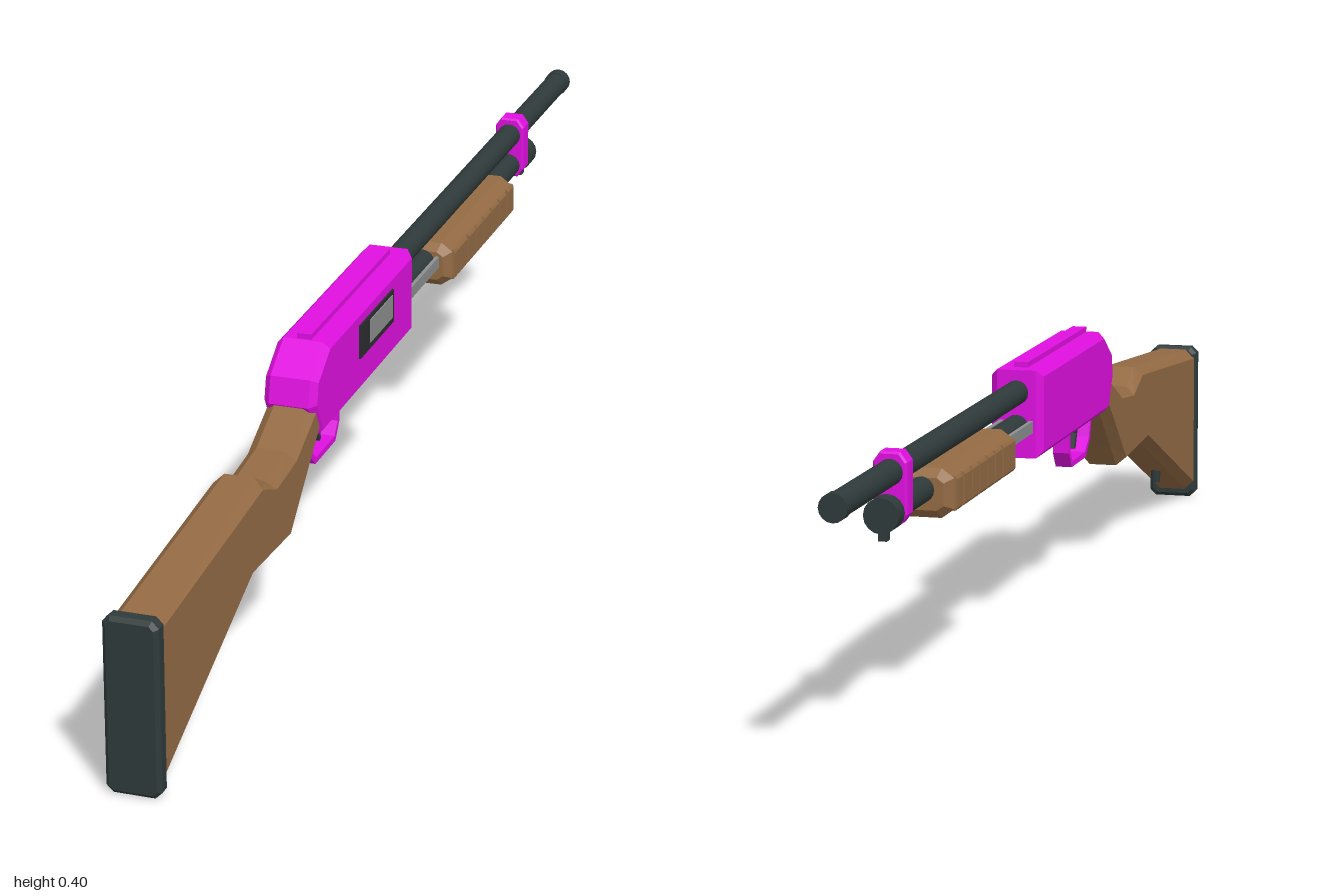
import * as THREE from 'three';

const mat = (name, color) => {
  const m = new THREE.MeshStandardMaterial({ color });
  m.name = name;
  return m;
};

export function createModel() {
  const group = new THREE.Group();
  const magenta = mat('magenta', 0xe010e0);
  const wood = mat('wood', 0x946b44);
  const gunmetal = mat('gunmetal', 0x2f3a3a);
  const shadowBlack = mat('shadowBlack', 0x2a2c2e);
  const steel = mat('steel', 0x8c8f8f);

  const add = (name, geo, material, x = 0, y = 0, z = 0) => {
    const mesh = new THREE.Mesh(geo, material);
    mesh.name = name;
    mesh.position.set(x, y, z);
    group.add(mesh);
    return mesh;
  };
  const box = (w, h, d) => new THREE.BoxGeometry(w, h, d);
  const toShape = pts => new THREE.Shape(pts.map(p => new THREE.Vector2(...p)));

  // Chamfered extrusion centred on its depth axis
  const extrude = (shape, depth, bevel = 0) => {
    const d = depth - 2 * bevel;
    return new THREE.ExtrudeGeometry(shape, {
      depth: d, bevelEnabled: bevel > 0, bevelSize: bevel, bevelThickness: bevel,
      bevelOffset: -bevel, bevelSegments: 1, curveSegments: 6,
    }).translate(0, 0, -d / 2);
  };
  // Side profile given as [z, y], extruded across x
  const sideExtrude = (shape, width, bevel) => extrude(shape, width, bevel).rotateY(-Math.PI / 2);
  // Chamfered rectangle, counter-clockwise
  const octagon = (w, h, cx, cy = cx) => [
    [w, -h + cy], [w, h - cy], [w - cx, h], [-w + cx, h],
    [-w, h - cy], [-w, -h + cy], [-w + cx, -h], [w - cx, -h],
  ];
  // Round rod along z between two stations
  const rod = (name, r, z0, z1, y, material) =>
    add(name, new THREE.CylinderGeometry(r, r, Math.abs(z1 - z0), 16).rotateX(Math.PI / 2),
      material, 0, y, (z0 + z1) / 2);

  // Stock: octagonal sections between top [z, y] and bottom [z, y]
  const stations = [
    [[0.975, 0.258], [0.975, 0.012], 0.037],
    [[0.58, 0.29], [0.635, 0.155], 0.037],
    [[0.535, 0.265], [0.465, 0.147], 0.037],
    [[0.45, 0.275], [0.425, 0.185], 0.037],
    [[0.35, 0.322], [0.34, 0.262], 0.037],
  ];
  const rings = stations.map(([top, bottom, w]) => {
    const dz = top[0] - bottom[0], dy = top[1] - bottom[1];
    const half = Math.hypot(dz, dy) / 2;
    return octagon(w, half, 0.015).map(([x, v]) => {
      const t = (v / half + 1) / 2;
      return [x, bottom[1] + dy * t, bottom[0] + dz * t];
    });
  });
  const pos = [];
  const tri = (a, b, c) => pos.push(...a, ...b, ...c);
  for (let s = 0; s < rings.length - 1; s++) {
    for (let i = 0; i < 8; i++) {
      const j = (i + 1) % 8, p = rings[s], q = rings[s + 1];
      tri(p[i], q[i], q[j]);
      tri(p[i], q[j], p[j]);
    }
  }
  const last = rings[rings.length - 1];
  for (let i = 1; i < 7; i++) {
    tri(rings[0][0], rings[0][i], rings[0][i + 1]);
    tri(last[0], last[i + 1], last[i]);
  }
  const stockGeo = new THREE.BufferGeometry();
  stockGeo.setAttribute('position', new THREE.Float32BufferAttribute(pos, 3));
  stockGeo.computeVertexNormals();
  add('stock', stockGeo, wood);

  // Butt pad and sling stud
  add('buttPad', extrude(toShape(octagon(0.04, 0.131, 0.01)), 0.028, 0.006), gunmetal, 0, 0.131, 0.986);
  add('slingStud', new THREE.CylinderGeometry(0.008, 0.008, 0.035, 8), gunmetal, 0, 0.066, 0.845);

  // Receiver with sighting rib
  add('receiver', sideExtrude(toShape([
    [-0.08, 0.256], [0.345, 0.256], [0.376, 0.312], [0.367, 0.352], [0.31, 0.389], [-0.08, 0.389],
  ]), 0.08, 0.01), magenta);
  add('receiverRib', box(0.022, 0.012, 0.36), magenta, 0, 0.391, 0.127);

  // Ejection port on the left side and loading gate underneath
  add('ejectionPort', box(0.006, 0.052, 0.155), shadowBlack, 0.04, 0.339, 0.102);
  add('bolt', box(0.006, 0.036, 0.104), steel, 0.0415, 0.341, 0.086);
  add('loadingGate', box(0.05, 0.006, 0.145), shadowBlack, 0, 0.2555, 0.035);

  // Trigger guard and trigger
  const guard = toShape([
    [0.19, 0.262], [0.19, 0.215], [0.208, 0.19], [0.297, 0.19], [0.326, 0.215], [0.342, 0.262],
  ]);
  guard.holes.push(new THREE.Path([
    [0.198, 0.258], [0.331, 0.258], [0.318, 0.219], [0.293, 0.199], [0.212, 0.199], [0.198, 0.218],
  ].map(p => new THREE.Vector2(...p))));
  add('triggerGuard', sideExtrude(guard, 0.026), magenta);
  add('trigger', sideExtrude(toShape([
    [0.255, 0.262], [0.26, 0.235], [0.252, 0.212], [0.259, 0.21], [0.271, 0.235], [0.272, 0.262],
  ]), 0.012), gunmetal);

  // Barrel with muzzle ring, magazine tube with cap
  rod('barrel', 0.0185, -0.07, -0.995, 0.355, gunmetal);
  rod('muzzleRing', 0.02, -0.98, -1, 0.355, gunmetal);
  rod('magazineTube', 0.0185, -0.07, -0.77, 0.303, gunmetal);
  rod('magazineCap', 0.025, -0.755, -0.785, 0.303, gunmetal);
  add('capLug', box(0.012, 0.016, 0.016), gunmetal, 0, 0.275, -0.77);

  // Band clamping barrel and magazine
  add('barrelBand', extrude(toShape(octagon(0.024, 0.05, 0.01, 0.014)), 0.032, 0.003), magenta, 0, 0.333, -0.726);

  // Action bars beside the magazine tube
  for (const side of [-1, 1]) {
    add('actionBar', box(0.006, 0.018, 0.2), steel, side * 0.023, 0.304, -0.17);
  }

  // Pump grip: chamfered core with raised ribs and end panels
  add('pumpGrip', extrude(toShape(octagon(0.044, 0.035, 0.018, 0.013)), 0.34, 0.012), wood, 0, 0.297, -0.42);
  const panels = [[-0.264, -0.328], [-0.547, -0.578]];
  for (let i = 0; i < 5; i++) panels.push([-0.336 - i * 0.0415, -0.372 - i * 0.0415]);
  for (const side of [-1, 1]) {
    for (const [z0, z1] of panels) {
      add('pumpRib', extrude(toShape(octagon(0.005, 0.024, 0.0025, 0.004)), z0 - z1), wood,
        side * 0.043, 0.297, (z0 + z1) / 2);
    }
  }
  return group;
}
